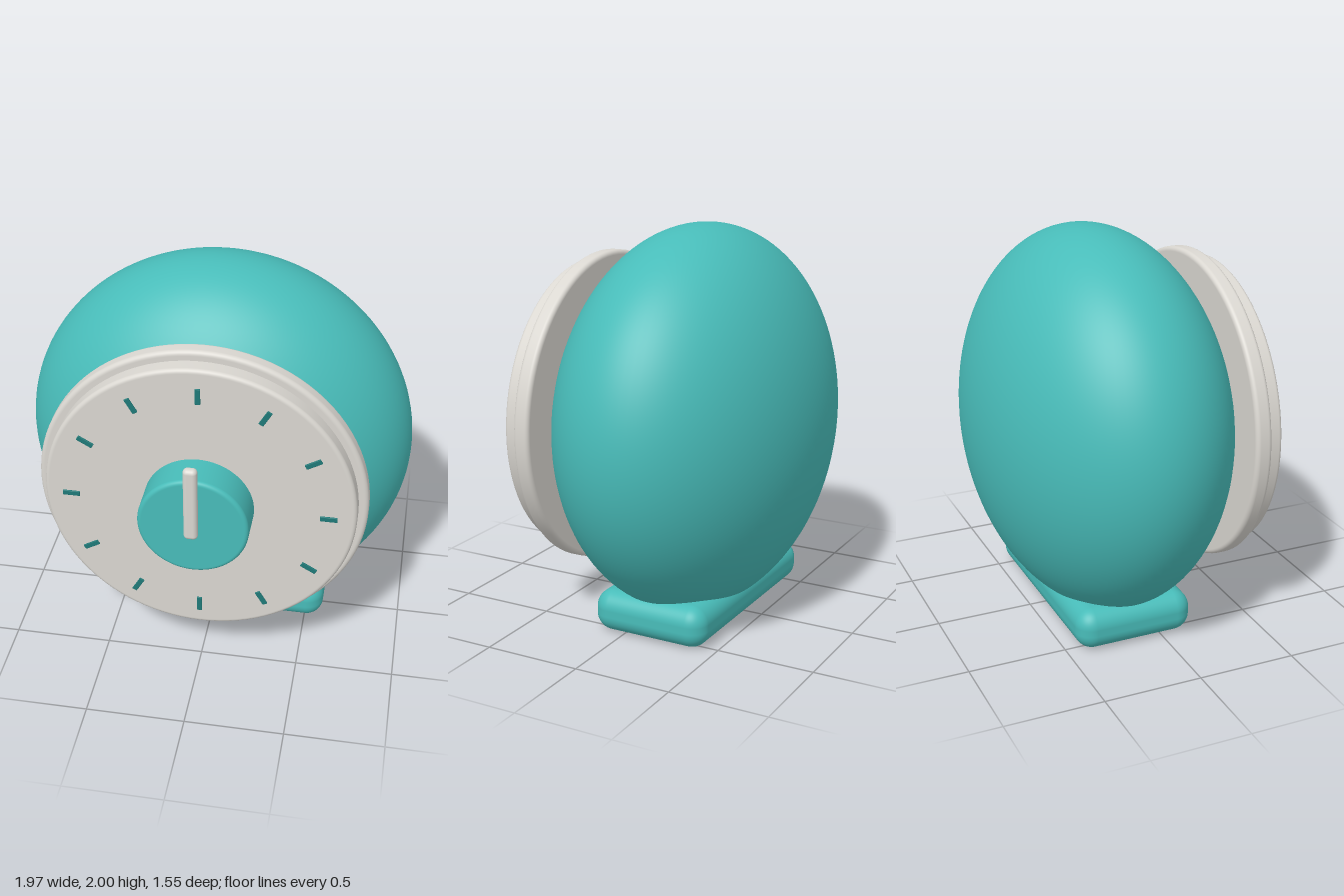
import * as THREE from 'three';
import { RoundedBoxGeometry } from 'three/addons/geometries/RoundedBoxGeometry.js';

const CENTRE_Y = 1.014;

export function createModel() {
  const group = new THREE.Group();
  group.name = 'kitchenTimer';

  const material = (name, color) => {
    const m = new THREE.MeshStandardMaterial({ color });
    m.name = name;
    return m;
  };
  const teal = material('teal', 0x48bcb9);
  const darkTeal = material('dark teal', 0x1f7a78);
  const cream = material('warm light grey', 0xdad7d1);

  const add = (name, geometry, mat, x, y, z, parent = group) => {
    const mesh = new THREE.Mesh(geometry, mat);
    mesh.name = name;
    mesh.position.set(x, y, z);
    parent.add(mesh);
    return mesh;
  };

  // Disc facing +z with rounded back and front rims
  const disc = (radius, back, front, backFillet, frontFillet) => {
    const eps = 0.002;
    const points = [new THREE.Vector2(0, back), new THREE.Vector2(radius - backFillet - eps, back)];
    const arc = (fillet, cy, start) => {
      for (let i = 0; i <= 8; i++) {
        const a = start + (i / 8) * Math.PI / 2;
        points.push(new THREE.Vector2(radius - fillet + Math.cos(a) * fillet, cy + Math.sin(a) * fillet));
      }
    };
    arc(backFillet, back + backFillet, -Math.PI / 2);
    arc(frontFillet, front - frontFillet, 0);
    points.push(new THREE.Vector2(radius - frontFillet - eps, front), new THREE.Vector2(0, front));
    return new THREE.LatheGeometry(points, 96).rotateX(Math.PI / 2);
  };

  // Flattened round body
  const body = add('body', new THREE.SphereGeometry(1, 96, 64), teal, 0, CENTRE_Y, -0.14);
  body.scale.set(0.986, 0.986, 0.635);

  // Foot
  add('base', new RoundedBoxGeometry(1.19, 0.213, 0.615, 8, 0.09), teal, 0, 0.1065, -0.142);

  // Stepped dial and knob
  add('outerRing', disc(0.812, 0.37, 0.455, 0.022, 0.022), cream, 0, CENTRE_Y, 0);
  add('dialFace', disc(0.764, 0.44, 0.536, 0.01, 0.02), cream, 0, CENTRE_Y, 0);
  add('knob', disc(0.269, 0.5, 0.716, 0.01, 0.02), teal, 0, CENTRE_Y, 0);

  // Pointer
  add('pointer', new RoundedBoxGeometry(0.068, 0.405, 0.048, 6, 0.022), cream, 0, 1.182, 0.749);

  // Twelve hour marks
  const marks = new THREE.Group();
  marks.name = 'marks';
  marks.position.set(0, CENTRE_Y, 0.547);
  group.add(marks);
  const markGeometry = new RoundedBoxGeometry(0.026, 0.084, 0.0095, 2, 0.003);
  for (let i = 0; i < 12; i++) {
    const a = (i / 12) * Math.PI * 2;
    const mark = add('mark', markGeometry, darkTeal, Math.sin(a) * 0.63, Math.cos(a) * 0.63, 0, marks);
    mark.rotation.z = -a;
  }

  return group;
}
